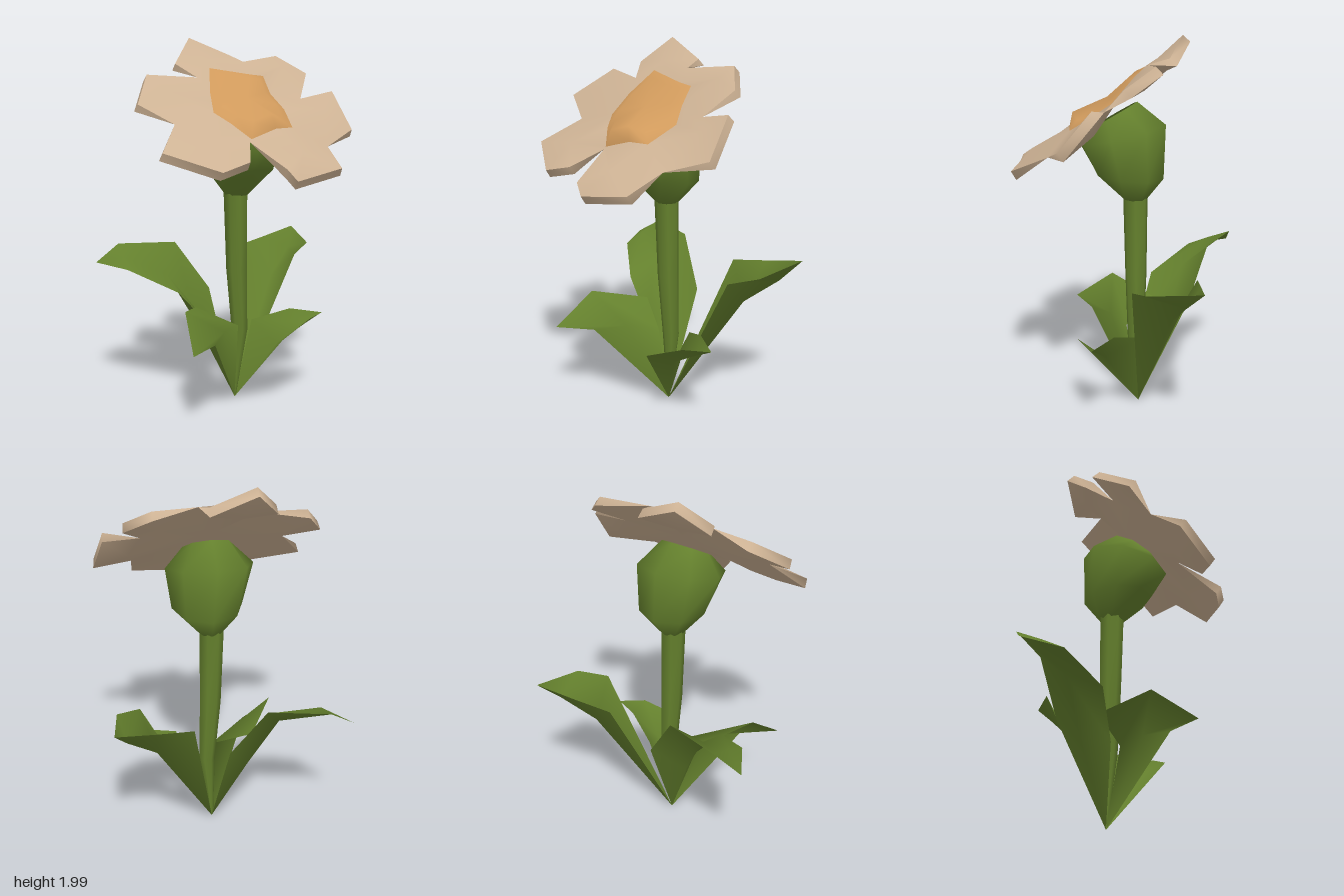
import * as THREE from 'three';
import { mergeVertices } from 'three/addons/utils/BufferGeometryUtils.js';

const V = (p) => new THREE.Vector3(...p);
// direction the bloom faces
const FACE = new THREE.Vector3(0, 0.74, 0.67);
// point between a and b, lifted off the bloom's plane
const mix = (a, b, t, lift = 0) => V(a).lerp(V(b), t).addScaledVector(FACE, lift).toArray();

// smooth surface from a list of corner triples
function surface(tris) {
  const g = new THREE.BufferGeometry();
  g.setAttribute('position', new THREE.Float32BufferAttribute(tris.flat(2), 3));
  const m = mergeVertices(g, 1e-4);
  m.computeVertexNormals();
  return m;
}

// triangles joining a centre point to a closed loop (loop runs clockwise seen from the front)
function fan(c, loop, back = false) {
  return loop.map((p, i) => {
    const q = loop[(i + 1) % loop.length];
    return back ? [c, p, q] : [c, q, p];
  });
}

// skin between successive rows of points
function loft(rows, closed) {
  const tris = [];
  for (let r = 0; r < rows.length - 1; r++) {
    const a = rows[r], b = rows[r + 1], n = a.length;
    for (let i = 0; i < (closed ? n : n - 1); i++) {
      const j = (i + 1) % n;
      tris.push([a[i], b[i], a[j]], [a[j], b[i], b[j]]);
    }
  }
  return surface(tris);
}

// ring of points; slope tips it down toward the front
function ring(cx, cy, cz, r, slope, n) {
  return Array.from({ length: n }, (_, i) => {
    const t = (i / n) * Math.PI * 2;
    return [cx + r * Math.sin(t), cy - slope * r * Math.cos(t), cz + r * Math.cos(t)];
  }).reverse();
}

export function createModel() {
  const green = new THREE.MeshStandardMaterial({ color: 0x64802d, side: THREE.DoubleSide });
  const tan = new THREE.MeshStandardMaterial({ color: 0xcdb294 });
  const orange = new THREE.MeshStandardMaterial({ color: 0xd09a5c });
  green.name = 'leaf green';
  tan.name = 'petal tan';
  orange.name = 'centre orange';

  const model = new THREE.Group();
  const add = (name, geo, mat) => {
    const m = new THREE.Mesh(geo, mat);
    m.name = name;
    model.add(m);
  };

  // stem
  add('stem', loft([
    ring(0.05, 0.02, -0.1, 0.008, 0, 7),
    ring(0.075, 0.4, -0.09, 0.045, 0, 7),
    ring(0.055, 0.75, -0.085, 0.058, 0, 7),
    ring(0.045, 1.2, -0.078, 0.066, 0, 7),
  ], true), green);

  // bulb under the bloom
  add('bulb', loft([
    ring(0.05, 1.16, -0.078, 0.062, 0, 8),
    ring(0.06, 1.295, -0.045, 0.185, -0.1, 8),
    ring(0.04, 1.5, -0.005, 0.23, 0.24, 8),
    ring(0.04, 1.59, 0.045, 0.13, 0.6, 8),
  ], true), green);

  // leaves: rows of edge, keel, edge from base to tip
  const base = [0.05, 0.005, -0.1];
  const leaves = {
    backRightLeaf: [
      [[0.0, 0.58, -0.36], [-0.13, 0.42, -0.22], [-0.09, 0.42, -0.07]],
      [[-0.18, 0.85, -0.43], [-0.28, 0.7, -0.28], [-0.28, 0.64, -0.1]],
      [[-0.49, 0.85, -0.51], [-0.5, 0.8, -0.38], [-0.51, 0.75, -0.27]],
      [[-0.63, 0.76, -0.475]]],
    backLeftLeaf: [
      [[0.2, 0.79, -0.44], [0.38, 0.62, -0.34], [0.44, 0.78, -0.15]],
      [[0.4, 0.825, -0.49], [0.54, 0.76, -0.44], [0.57, 0.82, -0.25]],
      [[0.61, 0.865, -0.54]]],
    frontRightLeaf: [
      [[-0.2, 0.43, 0.23], [-0.09, 0.45, 0.09], [0.04, 0.44, -0.03]],
      [[-0.37, 0.43, 0.365], [-0.33, 0.6, 0.14], [-0.17, 0.54, -0.13]]],
    frontLeftLeaf: [
      [[0.2, 0.4, 0.2], [0.24, 0.33, 0.04], [0.17, 0.43, -0.14]],
      [[0.4, 0.48, 0.13], [0.42, 0.43, 0.04], [0.36, 0.5, -0.04]],
      [[0.52, 0.48, 0.04]]],
  };
  for (const [name, rows] of Object.entries(leaves)) {
    const full = [[base], ...rows].map((r) => (r.length === 1 ? [r[0], r[0], r[0]] : r));
    add(name, loft(full, false), green);
  }

  // bloom: outline of the orange patch, alternating notch and petal middle
  const heart = [0.05, 1.69, 0.07];
  const inner = [
    [-0.14, 1.72, 0.02], [-0.09, 1.835, -0.11], [0.13, 1.8, -0.085], [0.21, 1.79, -0.09],
    [0.22, 1.7, -0.02], [0.265, 1.62, 0.06], [0.235, 1.54, 0.22], [0.13, 1.54, 0.25],
    [-0.02, 1.495, 0.278], [-0.1, 1.57, 0.2], [-0.16, 1.62, 0.12], [-0.15, 1.67, 0.07],
  ];
  // notches between the petals, then the outer corners of each petal
  const notches = [
    [-0.18, 1.79, -0.06], [0.12, 1.865, -0.15], [0.39, 1.67, 0.0],
    [0.41, 1.44, 0.28], [-0.03, 1.48, 0.282], [-0.38, 1.57, 0.15],
  ];
  const corners = [
    [[-0.265, 1.84, -0.185], [-0.14, 1.975, -0.305], [0.09, 1.88, -0.28]],
    [[0.36, 1.875, -0.265], [0.49, 1.78, -0.14]],
    [[0.58, 1.69, -0.005], [0.62, 1.49, 0.155]],
    [[0.39, 1.33, 0.47], [0.11, 1.285, 0.53], [0.06, 1.345, 0.515]],
    [[-0.1, 1.38, 0.435], [-0.26, 1.34, 0.47], [-0.515, 1.43, 0.315]],
    [[-0.555, 1.65, 0.06], [-0.44, 1.79, -0.14]],
  ];

  // orange centre, raised to a lip at the front
  const raised = inner.map((p) => mix(heart, p, 0.75, p[2] > 0.24 ? 0.05 : 0.015));
  const disc = fan(heart, raised);
  inner.forEach((p, i) => {
    const j = (i + 1) % 12;
    disc.push([raised[i], raised[j], p], [raised[j], inner[j], p]);
  });
  add('flowerCentre', surface(disc), orange);

  // petals, each with a ridged front, a rounded back and a rim between them
  const front = [], back = [], rim = [];
  const backHeart = mix(heart, heart, 0, -0.06);
  corners.forEach((c, i) => {
    const n0 = notches[i], n1 = notches[(i + 1) % 6];
    const m = inner[2 * i + 1];
    const end = mix(c[0], c[c.length - 1], 0.5);
    const top = [n0, ...c.map((p) => mix(p, m, 0.02, 0.025)), n1];
    const low = [n0, ...c.map((p) => mix(p, m, 0, -0.025)), n1];
    front.push(...fan(mix(m, end, 0.65, 0.035),
      [inner[2 * i], ...top, inner[(2 * i + 2) % 12], m]));
    back.push(...fan(mix(m, end, 0.55, -0.05), [backHeart, ...low], true));
    for (let k = 0; k < top.length - 1; k++) {
      rim.push([top[k], top[k + 1], low[k]], [top[k + 1], low[k + 1], low[k]]);
    }
  });
  add('petalFronts', surface(front), tan);
  add('petalBacks', surface(back), tan);
  add('petalRims', surface(rim), tan);

  return model;
}
